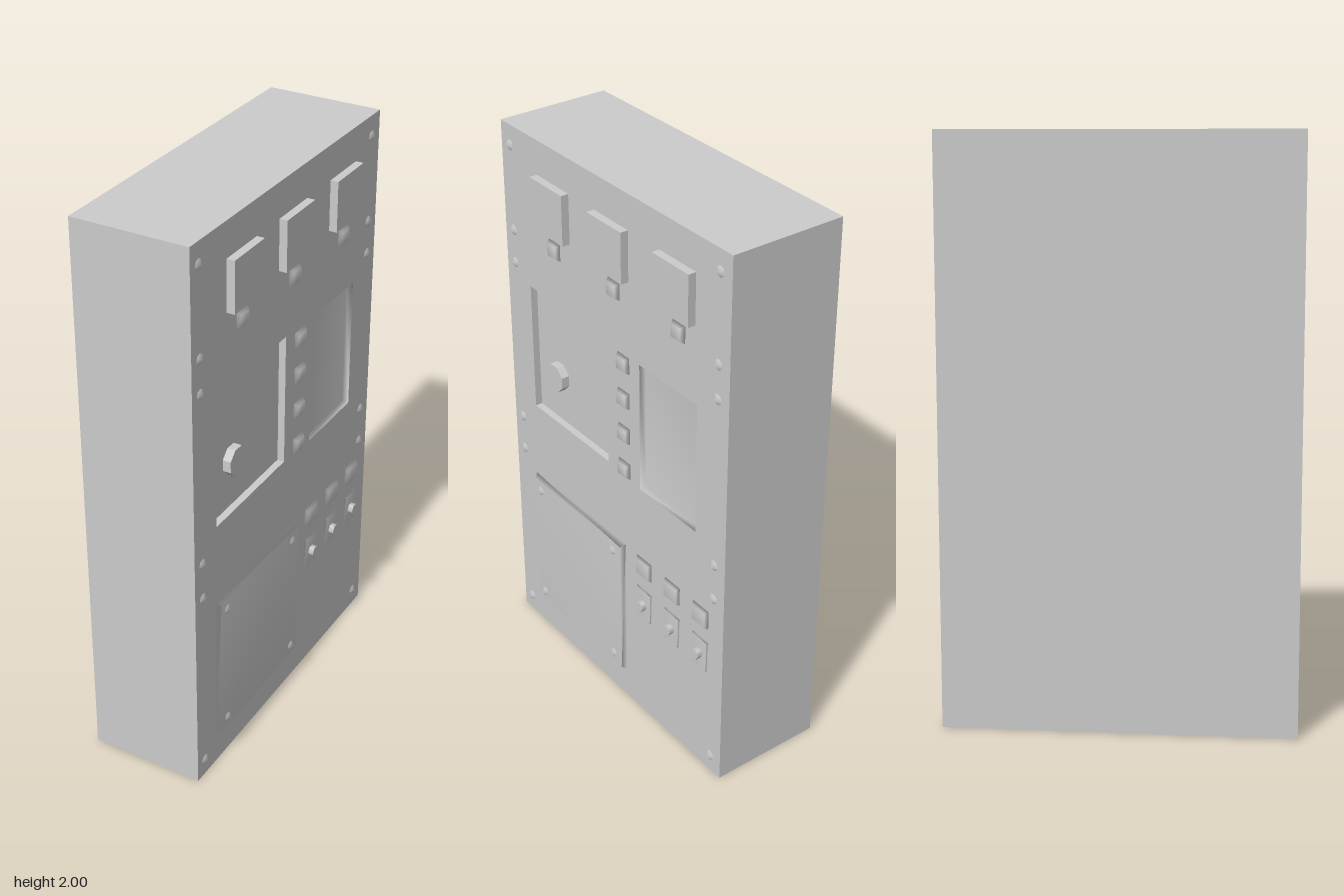
import * as THREE from 'three';
import { mergeVertices } from 'three/addons/utils/BufferGeometryUtils.js';

const FACE = 0.19; // x of the instrument face, which looks toward +x
const BACK = -0.22;

// Share vertices so the shading runs smoothly over the edges
function smooth(geo) {
  geo.deleteAttribute('uv');
  geo.deleteAttribute('normal');
  const merged = mergeVertices(geo, 1e-4);
  merged.computeVertexNormals();
  return merged;
}

// Raised pad with its front drawn in by a small bevel
function padGeometry(height, width, depth, bevel) {
  const geo = new THREE.BoxGeometry(depth, height, width);
  const p = geo.attributes.position;
  for (let i = 0; i < p.count; i++) {
    if (p.getX(i) > 0) {
      p.setY(i, p.getY(i) - Math.sign(p.getY(i)) * bevel);
      p.setZ(i, p.getZ(i) - Math.sign(p.getZ(i)) * bevel);
    }
  }
  geo.translate(depth / 2, 0, 0);
  return smooth(geo);
}

// Box without its +x side
function openBox(depth, height, width) {
  const geo = new THREE.BoxGeometry(depth, height, width);
  geo.setIndex(Array.from(geo.index.array).slice(6));
  geo.clearGroups();
  return geo.translate(-depth / 2, 0, 0);
}

// Pocket sunk into the face, seen from inside
function pocketGeometry(depth, height, width, soft) {
  const geo = openBox(depth, height, width);
  geo.setIndex(Array.from(geo.index.array).reverse());
  geo.computeVertexNormals();
  return soft ? smooth(geo) : geo;
}

export function createModel() {
  const group = new THREE.Group();
  const material = new THREE.MeshStandardMaterial({ color: 0xcccccc });
  const add = (name, geo, x, y, z) => {
    const mesh = new THREE.Mesh(geo, material);
    mesh.name = name;
    mesh.position.set(x, y, z);
    group.add(mesh);
    return mesh;
  };

  // Cabinet: back and sides, then the face with two openings
  add('cabinet', openBox(FACE - BACK, 2, 1.2), FACE, 1, 0);
  const door = { y: 1.207, z: 0.245, h: 0.475, w: 0.44, d: 0.025 };
  const screen = { y: 1.193, z: -0.3, h: 0.475, w: 0.295, d: 0.025 };
  const rect = (Type, y, z, h, w) => new Type().setFromPoints([
    new THREE.Vector2(-z - w / 2, y - h / 2), new THREE.Vector2(-z + w / 2, y - h / 2),
    new THREE.Vector2(-z + w / 2, y + h / 2), new THREE.Vector2(-z - w / 2, y + h / 2),
  ]);
  const outline = rect(THREE.Shape, 1, 0, 2, 1.2);
  for (const o of [door, screen]) outline.holes.push(rect(THREE.Path, o.y, o.z, o.h, o.w));
  add('facePanel', new THREE.ShapeGeometry(outline).rotateY(Math.PI / 2), FACE, 0, 0);

  // Recessed door with its knob, and the softly shaded recessed screen
  add('recessedDoor', pocketGeometry(door.d, door.h, door.w, false), FACE, door.y, door.z);
  add('recessedScreen', pocketGeometry(screen.d, screen.h, screen.w, true), FACE, screen.y, screen.z);
  const knob = new THREE.CylinderGeometry(0.052, 0.052, 0.03, 8).rotateY(Math.PI / 8).rotateZ(-Math.PI / 2);
  add('doorKnob', knob.toNonIndexed(), 0.179, 1.147, 0.335).geometry.computeVertexNormals();

  // Three gauges, each with an indicator lamp below
  const gauge = new THREE.BoxGeometry(0.028, 0.177, 0.178);
  const button = padGeometry(0.06, 0.062, 0.014, 0.008);
  for (const z of [0.308, -0.01, -0.345]) add('gauge', gauge, FACE + 0.014, 1.79, z);
  for (const z of [0.308, -0.02, -0.355]) add('indicatorLamp', button, FACE, 1.645, z);

  // Column of buttons between door and screen
  for (const y of [1.398, 1.265, 1.13, 0.992]) add('button', button, FACE, y, -0.068);

  // Toggle switches with a wide button above each
  const wideButton = padGeometry(0.072, 0.08, 0.012, 0.006);
  const plate = padGeometry(0.125, 0.08, 0.007, 0.003);
  const toggle = new THREE.CylinderGeometry(0.02, 0.02, 0.024, 6).rotateZ(-Math.PI / 2);
  for (const z of [-0.175, -0.33, -0.483]) {
    add('wideButton', wideButton, FACE, 0.64, z);
    add('togglePlate', plate, FACE, 0.485, z);
    add('toggle', toggle, 0.204, 0.485, z);
  }

  // Low access cover with a screw in each corner
  add('accessCover', padGeometry(0.555, 0.545, 0.018, 0.01), FACE, 0.398, 0.205);
  const stud = smooth(new THREE.ConeGeometry(0.021, 0.014, 8, 1, true).rotateZ(-Math.PI / 2));
  for (const y of [0.168, 0.628]) {
    for (const z of [0.43, -0.012]) add('coverScrew', stud, 0.213, y, z);
  }

  // Rivets down both edges of the face
  for (const y of [1.927, 1.62, 1.5, 0.88, 0.745, 0.063]) {
    for (const z of [0.553, -0.545]) add('rivet', stud, FACE + 0.006, y, z);
  }
  return group;
}
